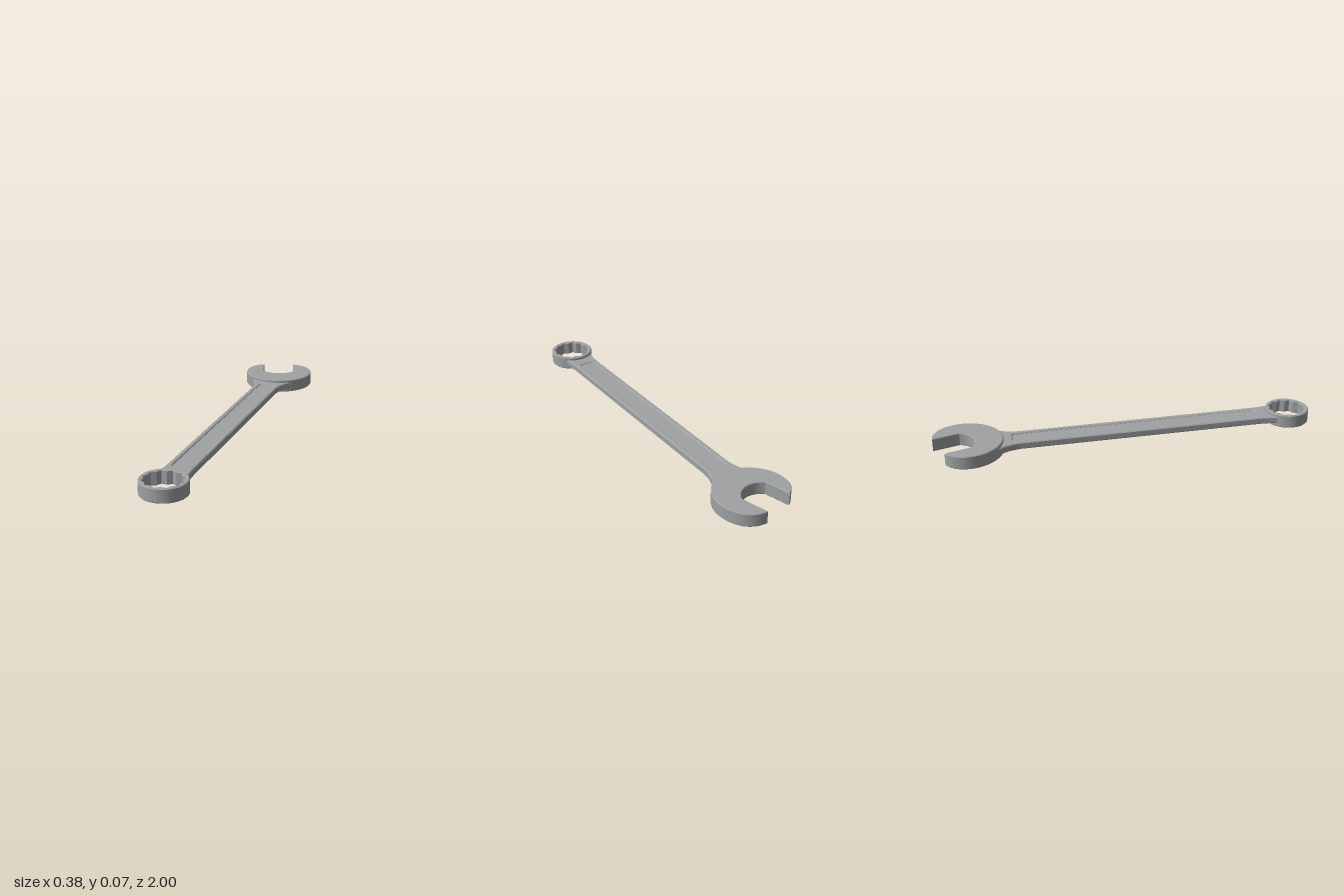
import * as THREE from 'three';
import { toCreasedNormals } from 'three/addons/utils/BufferGeometryUtils.js';

const steel = new THREE.MeshStandardMaterial({ color: 0x9fa2a3 });
steel.name = 'steel';

const HEAD_Z = -0.838, RING_Z = 0.885, TILT = Math.PI / 12;

// Plan outlines are drawn in (x, z) and extruded between two heights with a chamfer
function plate(name, shape, y0, y1, bevel) {
  const raw = new THREE.ExtrudeGeometry(shape, {
    depth: y1 - y0 - 2 * bevel, curveSegments: 48, steps: 1,
    bevelEnabled: bevel > 0, bevelThickness: bevel, bevelSize: bevel,
    bevelOffset: -bevel, bevelSegments: 1,
  });
  raw.rotateX(Math.PI / 2);
  raw.translate(0, y1 - bevel, 0);
  const mesh = new THREE.Mesh(toCreasedNormals(raw, 0.45), steel);
  mesh.name = name;
  return mesh;
}

// Open jaw: round outline that thins toward the tips, with a tilted slot
function jawShape() {
  const pts = [];
  const add = (u, v) => pts.push(new THREE.Vector2(
    u * Math.cos(TILT) - v * Math.sin(TILT),
    HEAD_Z - u * Math.sin(TILT) - v * Math.cos(TILT)));
  const start = 1.056, end = 2.164 - Math.PI * 2, n = 72;
  for (let i = 0; i <= n; i++) {
    const a = start + (end - start) * i / n;
    const s = Math.max(0, 1 - Math.min(start - a, a - end) / 0.75);
    const r = 0.191 - 0.023 * s * s;
    add(r * Math.cos(a), r * Math.sin(a));
  }
  for (let i = 0; i <= 20; i++) {
    const a = -0.971 + 1.942 * i / 20;
    add(-0.0045 + 0.106 * Math.sin(a), 0.064 - 0.106 * Math.cos(a));
  }
  return new THREE.Shape(pts);
}

// Ring end with a twelve-point socket
function ringShape() {
  const shape = new THREE.Shape();
  shape.absarc(0, RING_Z, 0.115, 0, Math.PI * 2, false);
  const pts = [];
  for (let i = 0; i < 24; i++) {
    const a = i * Math.PI / 12, r = i % 2 ? 0.088 : 0.1;
    pts.push(new THREE.Vector2(r * Math.cos(a), RING_Z + r * Math.sin(a)));
  }
  shape.holes.push(new THREE.Path(pts));
  return shape;
}

// Rounded rectangle for the long recess
function recess(path, w, z0, z1, r) {
  path.absarc(w - r, z1 - r, r, 0, Math.PI / 2, false);
  path.absarc(-w + r, z1 - r, r, Math.PI / 2, Math.PI, false);
  path.absarc(-w + r, z0 + r, r, Math.PI, Math.PI * 1.5, false);
  path.absarc(w - r, z0 + r, r, Math.PI * 1.5, Math.PI * 2, false);
  path.closePath();
  return path;
}

// Shank outline: straight sides flaring into both ends
function shankShape() {
  const s = new THREE.Shape();
  s.moveTo(0.138, -0.715);
  s.quadraticCurveTo(0.072, -0.645, 0.069, -0.55);
  s.lineTo(0.069, 0.7);
  s.quadraticCurveTo(0.07, 0.77, 0.083, 0.812);
  const a = Math.atan2(0.812 - RING_Z, 0.083);
  s.absarc(0, RING_Z, 0.1105, a, -Math.PI - a, true);
  s.quadraticCurveTo(-0.07, 0.77, -0.069, 0.7);
  s.lineTo(-0.069, -0.55);
  s.quadraticCurveTo(-0.072, -0.645, -0.138, -0.715);
  s.closePath();
  s.holes.push(recess(new THREE.Path(), 0.042, -0.6, 0.71, 0.018));
  return s;
}

export function createModel() {
  const group = new THREE.Group();
  group.name = 'combinationWrench';
  group.add(
    plate('openJaw', jawShape(), 0, 0.07, 0.004),
    plate('ringEnd', ringShape(), 0, 0.07, 0.004),
    plate('shank', shankShape(), 0.018, 0.055, 0.005),
    // Sunken web closing the recess on both faces
    plate('shankWeb', recess(new THREE.Shape(), 0.045, -0.603, 0.713, 0.02), 0.024, 0.049, 0),
  );
  return group;
}
